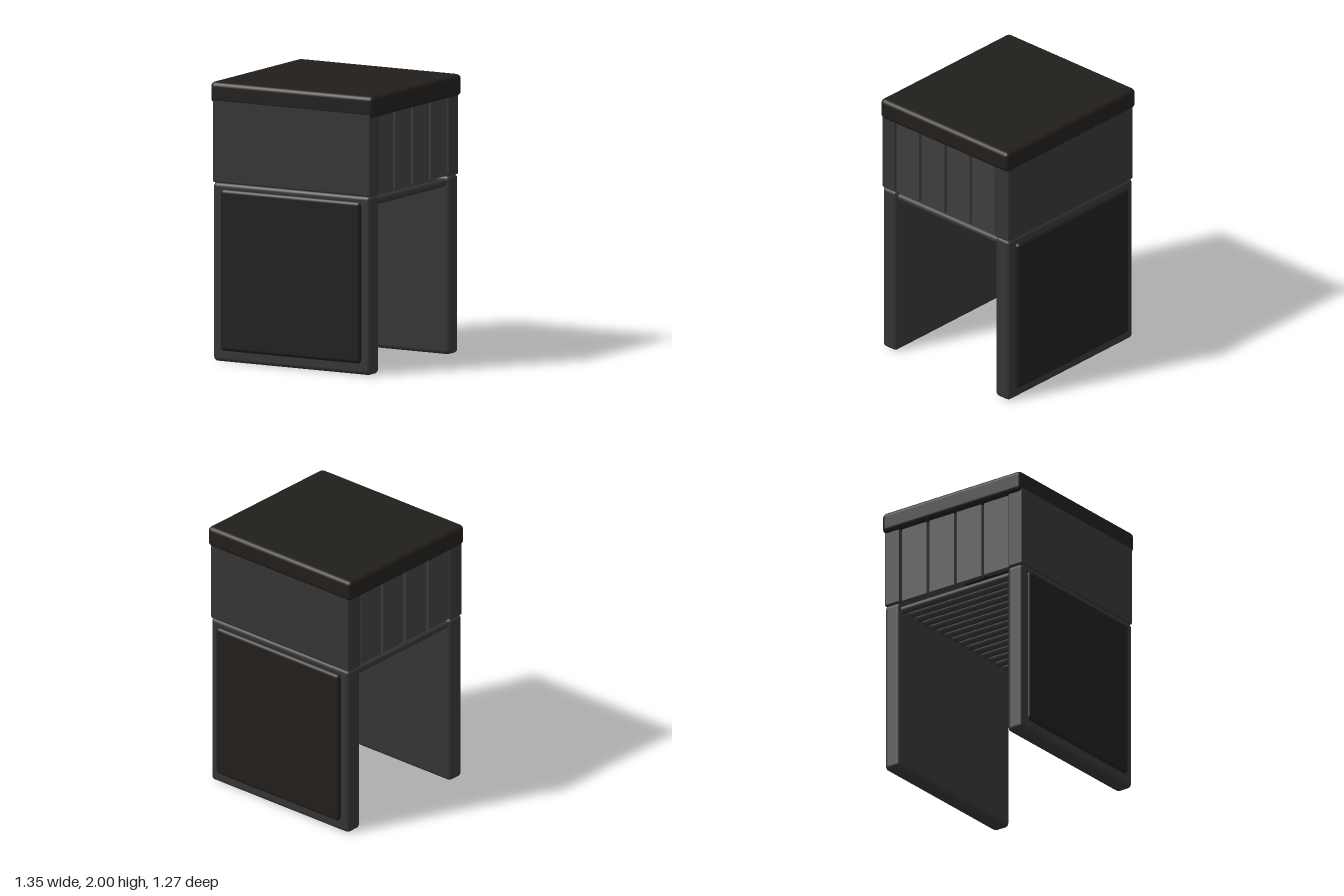
import * as THREE from 'three';
import { RoundedBoxGeometry } from 'three/addons/geometries/RoundedBoxGeometry.js';

const dark = new THREE.MeshStandardMaterial({ color: 0x211e1b });
const grey = new THREE.MeshStandardMaterial({ color: 0x343434 });
const light = new THREE.MeshStandardMaterial({ color: 0x3e3e3e });

// Rounded box given by its [min, max] range on each axis
function block(name, [x0, x1], [y0, y1], [z0, z1], radius, material) {
  const geometry = new RoundedBoxGeometry(x1 - x0, y1 - y0, z1 - z0, 4, radius);
  const mesh = new THREE.Mesh(geometry, material);
  mesh.position.set((x0 + x1) / 2, (y0 + y1) / 2, (z0 + z1) / 2);
  mesh.name = name;
  return mesh;
}

export function createModel() {
  const model = new THREE.Group();
  model.name = 'cabinetStand';

  // Cushioned lid
  model.add(block('lid', [-0.675, 0.675], [1.845, 2], [-0.615, 0.617], 0.035, dark));

  // Front and back: leg panel, upper panel and padded inset
  const ends = [
    { name: 'front', leg: [0.483, 0.615], upper: [0.49, 0.615], pad: [0.55, 0.637] },
    { name: 'back', leg: [-0.605, -0.472], upper: [-0.605, -0.472], pad: [-0.637, -0.54] },
  ];
  for (const end of ends) {
    model.add(block(end.name + 'LegPanel', [-0.65, 0.65], [0, 1.282], end.leg, 0.03, grey));
    model.add(block(end.name + 'UpperPanel', [-0.65, 0.65], [1.28, 1.9], end.upper, 0.012, grey));
    model.add(block(end.name + 'Pad', [-0.58, 0.58], [0.08, 1.24], end.pad, 0.028, dark));
  }

  // Upright slats closing both sides
  for (const side of [-1, 1]) {
    const slats = new THREE.Group();
    slats.name = side > 0 ? 'leftSlats' : 'rightSlats';
    for (let i = 0; i < 4; i++) {
      const z = 0.49 - i * 0.243;
      const x = side * 0.618;
      slats.add(block('slat', [x - 0.02, x + 0.02], [1.285, 1.86], [z - 0.222, z], 0.004, light));
    }
    model.add(slats);
  }

  // Row of round rods forming the open floor of the compartment
  const rods = new THREE.Group();
  rods.name = 'floorRods';
  const rodGeometry = new THREE.CylinderGeometry(0.029, 0.029, 0.98, 20).rotateX(Math.PI / 2);
  const count = 15;
  for (let i = 0; i < count; i++) {
    const rod = new THREE.Mesh(rodGeometry, grey);
    rod.name = 'floorRod';
    rod.position.set(-0.6 + (1.2 * i) / (count - 1), 1.232, 0.005);
    rods.add(rod);
  }
  model.add(rods);

  // Dark rails inside the compartment, under the lid
  model.add(block('upperInnerRail', [-0.4, 0.4], [1.79, 1.86], [-0.35, 0.38], 0.01, dark));
  model.add(block('lowerInnerRail', [-0.4, 0.4], [1.6, 1.695], [-0.35, 0.38], 0.01, dark));

  return model;
}
